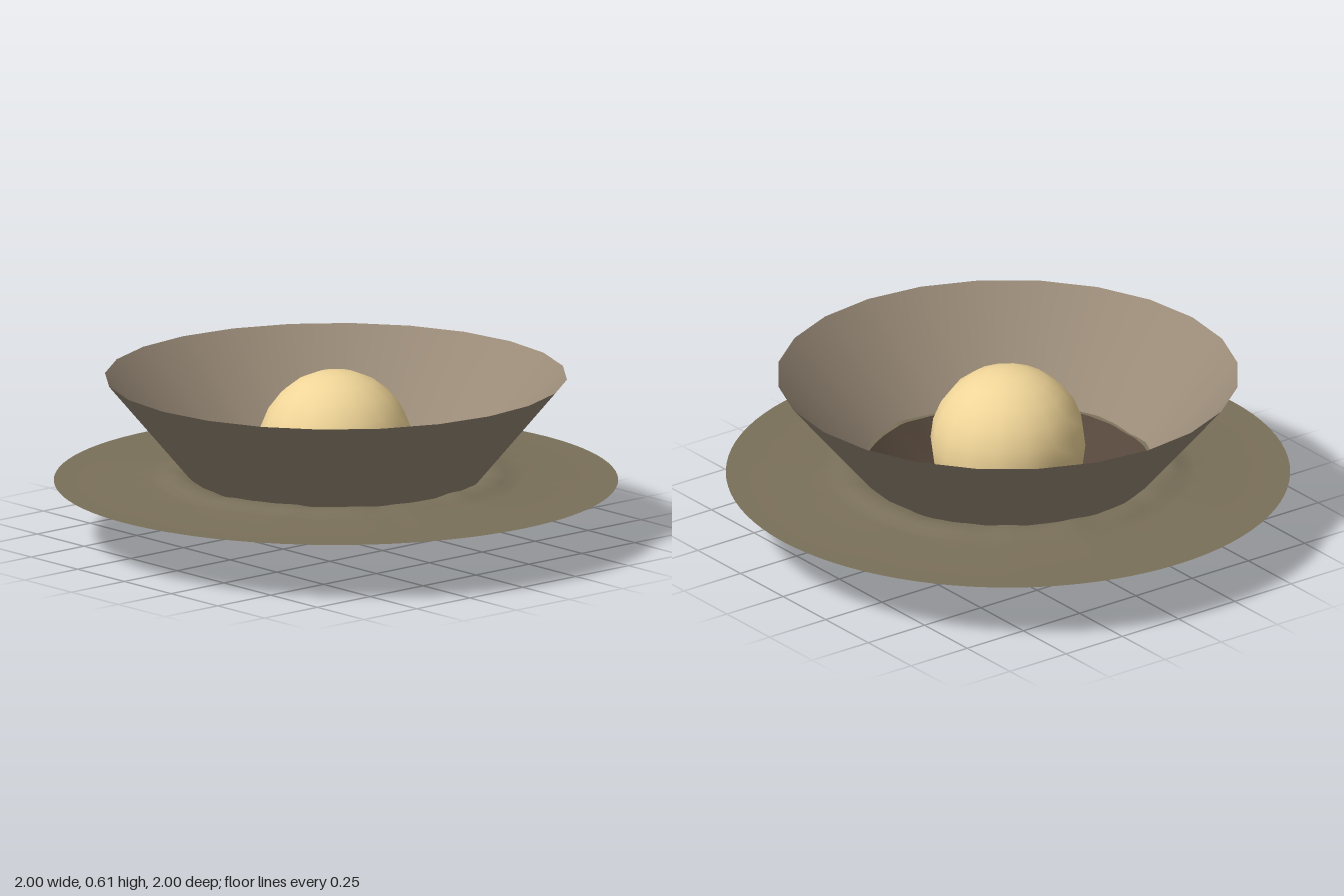
import * as THREE from 'three';

const BOWL_R = 0.51;   // where the hollow meets the raised rim
const OUTER_R = 1;
const GROUND_Y = 0.213;

// Smooth periodic ripple around the rim, roughly -1..1
const ripple = (a) =>
  0.45 * Math.sin(5 * a + 0.6) + 0.3 * Math.sin(9 * a + 2.1) +
  0.2 * Math.sin(16 * a + 4.0) + 0.15 * Math.sin(27 * a + 1.3);

// Ground height: parabolic hollow, uneven rim, then rays fading to flat ground
function groundHeight(r, a) {
  const rim = 0.236 + 0.007 * ripple(a);
  if (r <= BOWL_R) {
    const t = r / BOWL_R;
    return (rim * t * t) + 0.003 * Math.sin(3 * a + 7 * t) * t * t * (1 - t);
  }
  // Clamped so rounding at the outer edge never gives a negative base
  const t = Math.min(1, (r - BOWL_R) / (OUTER_R - BOWL_R));
  const crest = 0.012 * Math.sin(Math.PI * Math.min(1, t / 0.25));
  return GROUND_Y + (rim - GROUND_Y) * (1 - t) ** 2 + crest * (1 + 0.5 * ripple(a + 0.4));
}

// Ring-shaped sheet between two radii that follows the ground height
function groundSheet(r0, r1, rings) {
  const geo = new THREE.RingGeometry(r0, r1, 96, rings);
  geo.rotateX(-Math.PI / 2);
  const p = geo.attributes.position;
  for (let i = 0; i < p.count; i++) {
    const x = p.getX(i), z = p.getZ(i);
    p.setY(i, groundHeight(Math.hypot(x, z), Math.atan2(z, x)));
  }
  geo.computeVertexNormals();
  return geo;
}

export function createModel() {
  const model = new THREE.Group();
  const add = (name, geo, color, side = THREE.DoubleSide) => {
    const mesh = new THREE.Mesh(geo, new THREE.MeshStandardMaterial({ color, side }));
    mesh.name = name;
    model.add(mesh);
    return mesh;
  };

  // Crater hollow and the surrounding ground
  add('craterBowl', groundSheet(0.005, BOWL_R, 16), 0x54463a);
  add('craterApron', groundSheet(BOWL_R, OUTER_R, 16), 0x7a705a);

  // Flared open wall standing on the crater rim
  const wall = add('flaredWall', new THREE.CylinderGeometry(0.82, 0.5, 0.382, 24, 1, true), 0x9a8b78);
  wall.position.y = 0.399;

  // Ball hovering in the middle
  const ball = add('ball', new THREE.SphereGeometry(0.277, 16, 12), 0xf0d598, THREE.FrontSide);
  ball.position.y = 0.333;

  return model;
}
